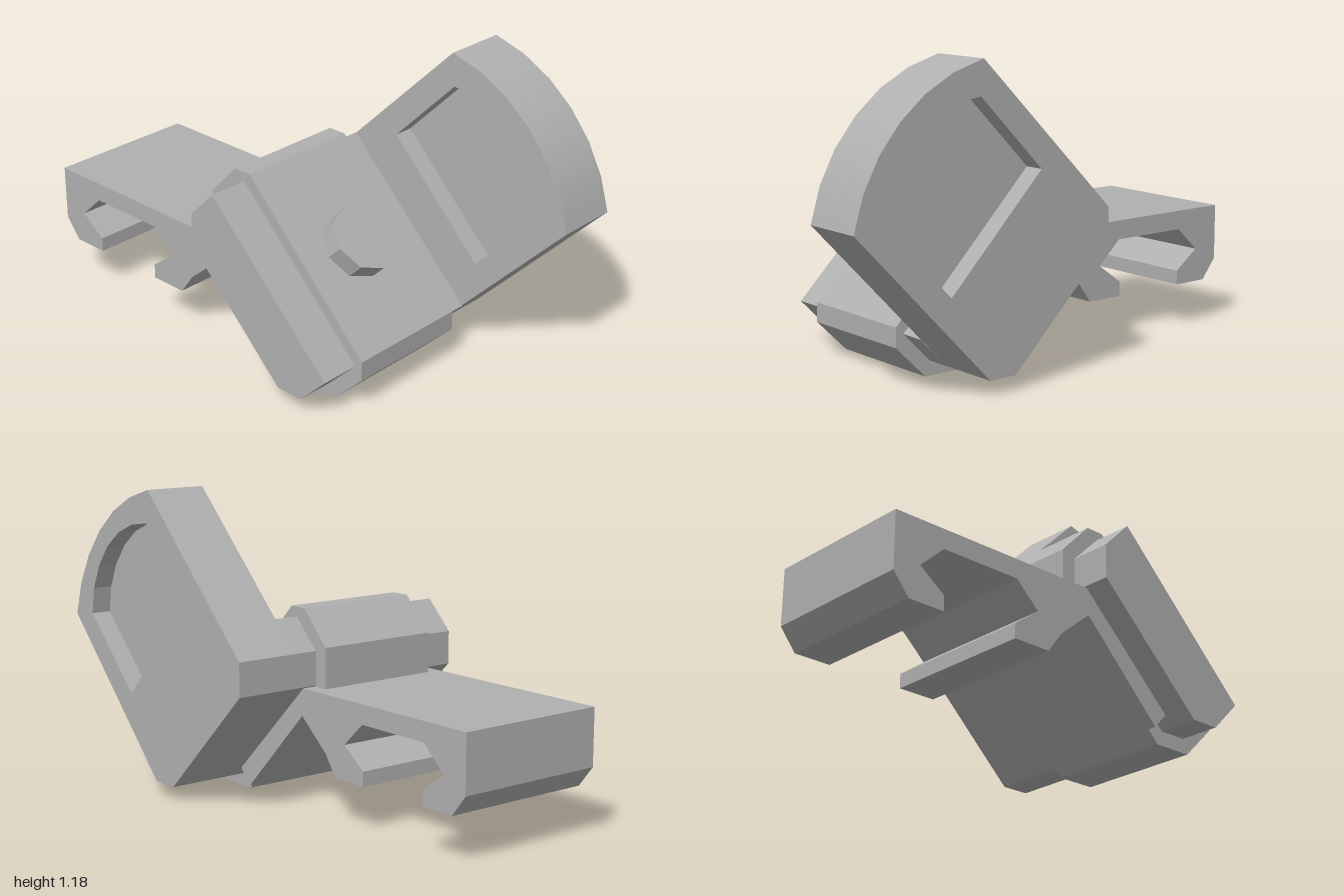
import * as THREE from 'three';
import { toCreasedNormals } from 'three/addons/utils/BufferGeometryUtils.js';

const grey = new THREE.MeshStandardMaterial({ color: 0xb0b0b0 });
grey.name = 'grey';

// Points on a circular arc from a to b (z, y) with the given bulge height
function arc(a, b, bulge, segments) {
  const A = new THREE.Vector2(...a), B = new THREE.Vector2(...b);
  const half = A.distanceTo(B) / 2;
  const radius = (half * half + bulge * bulge) / (2 * bulge);
  const along = B.clone().sub(A).normalize();
  const out = new THREE.Vector2(along.y, -along.x);
  const centre = A.clone().add(B).multiplyScalar(0.5).addScaledVector(out, bulge - radius);
  const sweep = Math.asin(half / radius);
  return Array.from({ length: segments + 1 }, (_, i) => {
    const t = -sweep + (2 * sweep * i) / segments;
    const p = centre.clone()
      .addScaledVector(out, radius * Math.cos(t))
      .addScaledVector(along, radius * Math.sin(t));
    return [p.x, p.y];
  });
}

// Extrude a (z, y) side profile between two x positions
function slab(name, profile, x0, x1, hole) {
  const toVectors = (pts) => pts.map((p) => new THREE.Vector2(...p));
  const shape = new THREE.Shape(toVectors(profile));
  if (hole) shape.holes.push(new THREE.Path(toVectors(hole)));
  const geometry = new THREE.ExtrudeGeometry(shape, { depth: x1 - x0, bevelEnabled: false });
  geometry.rotateY(-Math.PI / 2);
  geometry.translate(x1, 0, 0);
  const mesh = new THREE.Mesh(toCreasedNormals(geometry, 0.22), grey);
  mesh.name = name;
  return mesh;
}

export function createModel() {
  const model = new THREE.Group();
  model.name = 'clampMount';

  // Tilted base plate with chamfered ends
  model.add(slab('basePlate', [
    [-0.01, 0.73], [-0.125, 0.615], [-0.125, 0.485], [0.315, 0.06], [0.43, 0.06], [0.548, 0.178],
  ], -0.51, 0.255));

  // Thicker band wrapped around the plate
  model.add(slab('centreBand', [
    [0.02, 0.767], [-0.055, 0.767], [-0.183, 0.635], [-0.183, 0.477],
    [-0.1, 0.44], [0.235, 0.06], [0.29, 0.003], [0.45, 0.003], [0.58, 0.13], [0.58, 0.207],
  ], -0.35, 0.156));

  // Eight-sided stud on the tilted face
  const studHeight = 0.09;
  const studGeometry = new THREE.CylinderGeometry(0.135, 0.135, studHeight, 8).toNonIndexed();
  studGeometry.computeVertexNormals();
  const stud = new THREE.Mesh(studGeometry, grey);
  stud.name = 'stud';
  stud.rotation.x = Math.PI / 4;
  stud.position.set(-0.095, 0.508, 0.327);
  model.add(stud);

  // Side arm with a rounded end and a pocket in each face
  const arm = new THREE.Group();
  arm.name = 'sideArm';
  const armProfile = [
    ...arc([1.0, 0.645], [0.457, 1.188], 0.117, 6),
    [-0.125, 0.615], [-0.125, 0.485], [0.315, 0.06], [0.43, 0.06],
  ];
  const pocket = [...arc([0.88, 0.66], [0.47, 1.06], 0.115, 6), [0.197, 0.785], [0.6, 0.38]];
  arm.add(
    slab('innerRim', armProfile, 0.255, 0.335, pocket),
    slab('web', armProfile, 0.335, 0.425),
    slab('outerRim', armProfile, 0.425, 0.505, pocket),
  );
  model.add(arm);

  // Rear bracket with a hooked rail slot underneath
  model.add(slab('railBracket', [
    [0.28, 0.1], [0.22, 0.037], [-0.113, 0.375], [-0.25, 0.26], [-0.31, 0.178],
    [-0.467, 0.178], [-0.467, 0.235], [-0.36, 0.312], [-0.46, 0.405],
    [-0.79, 0.405], [-0.89, 0.312], [-0.785, 0.235], [-0.785, 0.178],
    [-0.935, 0.178], [-1.0, 0.26], [-1.0, 0.48], [-0.05, 0.48],
  ], -0.406, 0.211));

  return model;
}
